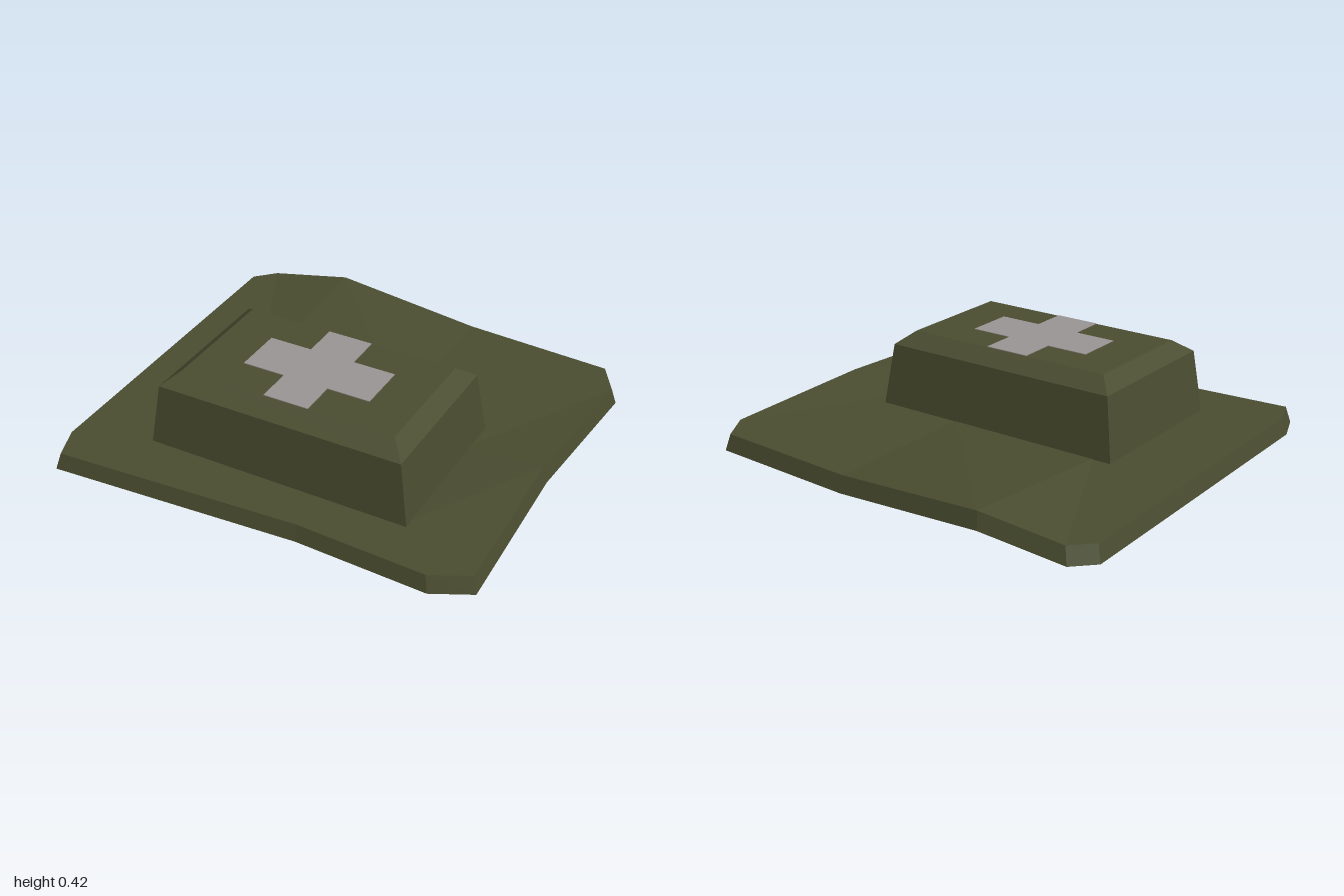
import * as THREE from 'three';

const V = (x, y, z) => new THREE.Vector3(x, y, z);

// Flat-faced surface through a stack of closed rings, optionally closed by a fan at either end.
function loft(rings, startCentre, endCentre) {
  const pos = [];
  const tri = (...corners) => corners.forEach(p => pos.push(p.x, p.y, p.z));
  const n = rings[0].length;
  for (let i = 0; i < n; i++) {
    const j = (i + 1) % n;
    for (let r = 0; r + 1 < rings.length; r++) {
      const a = rings[r], b = rings[r + 1];
      if (!a[i].equals(a[j])) tri(a[i], b[j], a[j]);
      if (!b[i].equals(b[j])) tri(a[i], b[i], b[j]);
    }
    if (startCentre) tri(rings[0][i], rings[0][j], startCentre);
    const last = rings[rings.length - 1];
    if (endCentre) tri(last[j], last[i], endCentre);
  }
  const geo = new THREE.BufferGeometry();
  geo.setAttribute('position', new THREE.Float32BufferAttribute(pos, 3));
  geo.computeVertexNormals();
  return geo;
}

export function createModel() {
  const group = new THREE.Group();
  const olive = new THREE.MeshStandardMaterial({ color: 0x4a4d30 });
  olive.name = 'olive cloth';
  const grey = new THREE.MeshStandardMaterial({ color: 0x9a9594 });
  grey.name = 'pale grey';

  const add = (name, geo, mat) => {
    const mesh = new THREE.Mesh(geo, mat);
    mesh.name = name;
    group.add(mesh);
    return mesh;
  };

  // Base sheet: uneven outline as x, z and how far the edge lifts
  const outline = [
    [-1, -0.79, 0], [-0.91, -0.88, 0], [-0.53, -0.925, 0.055], [0.2, -0.885, 0],
    [0.91, -0.84, 0], [1, -0.69, 0], [0.965, 0.05, 0.035], [0.98, 0.79, 0],
    [0.81, 0.875, 0], [0.21, 0.85, 0], [-0.93, 0.92, 0], [-0.985, 0.77, 0],
  ];
  const thick = 0.075;
  const clamp = THREE.MathUtils.clamp;
  const under = outline.map(([x, z, lift]) => V(x, lift, z));
  const rim = outline.map(([x, z, lift]) => V(x * 0.98, lift + thick, z * 0.98));
  // The sheet levels out where it meets the box
  const seam = outline.map(([x, z]) => V(clamp(x, -0.6, 0.58), thick, clamp(z, -0.11, 0.62)));
  add('baseSheet', loft([under, rim, seam], V(0, 0, 0)), olive);

  // Box with tapering walls and a bevelled lid
  const rect = (x0, x1, z0, z1, y) => [V(x0, y, z0), V(x1, y, z0), V(x1, y, z1), V(x0, y, z1)];
  const top = 0.415;
  add('box', loft([
    rect(-0.625, 0.605, -0.133, 0.64, 0.04),
    rect(-0.58, 0.56, -0.1, 0.615, 0.357),
    rect(-0.51, 0.49, -0.025, 0.535, top),
  ], null, V(-0.01, top, 0.255)), olive);

  // Cross plate on the lid, drawn around its own centre
  const w = 0.3, h = 0.278, a = 0.104, b = 0.113;
  const shape = new THREE.Shape([
    [-a, -h], [a, -h], [a, -b], [w, -b], [w, b], [a, b],
    [a, h], [-a, h], [-a, b], [-w, b], [-w, -b], [-a, -b],
  ].map(([x, y]) => new THREE.Vector2(x, y)));
  const cross = add('crossPlate',
    new THREE.ExtrudeGeometry(shape, { depth: 0.003, bevelEnabled: false }), grey);
  cross.rotation.x = -Math.PI / 2;
  cross.position.set(-0.01, top, 0.256);

  return group;
}
